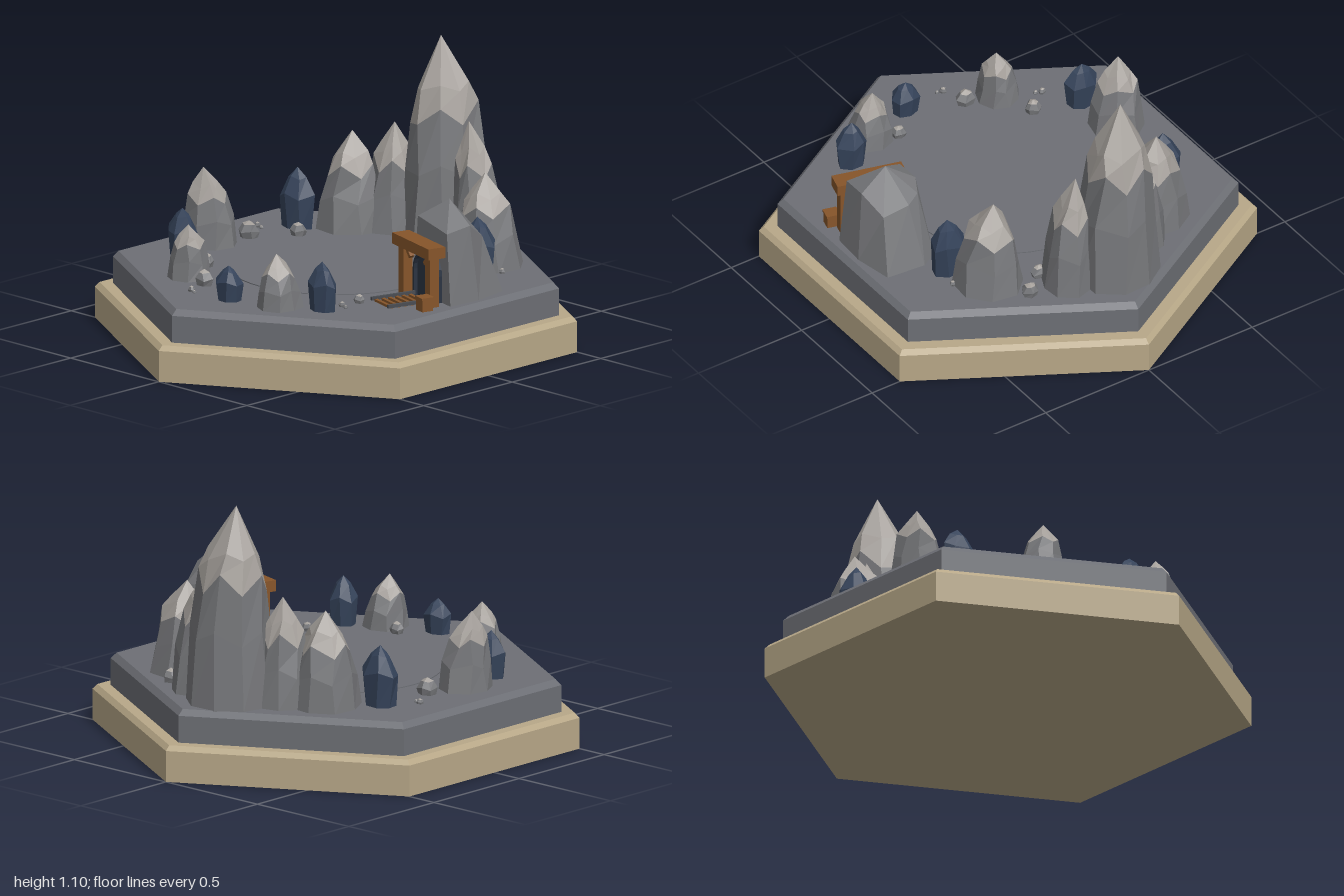
import * as THREE from 'three';

const mat = (name, color, extra = {}) =>
  Object.assign(new THREE.MeshStandardMaterial({ color, flatShading: true, ...extra }), { name });

export function createModel() {
  const M = {
    sand: mat('sandstone', 0xb8a888),
    ground: mat('slateGround', 0x6d6f75),
    rock: mat('greyRock', 0x77787b),
    cap: mat('paleRock', 0xa6a19c),
    ore: mat('blueOre', 0x35435a),
    wood: mat('wood', 0x86552a),
    dark: mat('tunnelDark', 0x2b3442, { side: THREE.DoubleSide }),
    rail: mat('railIron', 0x4a4d52),
  };
  const model = new THREE.Group();
  model.name = 'hexMineTile';

  let seed = 7;
  const rand = () => (seed = (seed * 16807) % 2147483647) / 2147483647;
  const jit = (a) => 1 + (rand() * 2 - 1) * a;

  const add = (parent, name, geo, material, x = 0, y = 0, z = 0) => {
    const m = new THREE.Mesh(geo, material);
    m.name = name;
    m.position.set(x, y, z);
    parent.add(m);
    return m;
  };

  // Joins rings of points and closes them to an apex; faces above ring capFrom use the second material
  const loft = (rings, apex, capFrom = 99) => {
    const pos = [];
    const tri = (...p) => p.forEach((v) => pos.push(v.x, v.y, v.z));
    let split = -1;
    rings.forEach((low, k) => {
      if (k === capFrom) split = pos.length / 3;
      const up = rings[k + 1];
      low.forEach((a, i) => {
        const j = (i + 1) % low.length;
        if (!up) return tri(a, low[j], apex);
        tri(a, low[j], up[j]);
        tri(a, up[j], up[i]);
      });
    });
    const g = new THREE.BufferGeometry();
    g.setAttribute('position', new THREE.Float32BufferAttribute(pos, 3));
    g.computeVertexNormals();
    const n = pos.length / 3;
    if (split < 0) split = n;
    g.addGroup(0, split, 0);
    if (split < n) g.addGroup(split, n - split, 1);
    return g;
  };

  // Jagged stone: profile rows are [height share, radius share, height zigzag]
  const stone = (name, [x, z, r, h, ax = x, az = z], profile, sides, mats, capFrom, depth = 1) => {
    const turn = rand() * 6;
    const spread = Array.from({ length: sides }, () => jit(0.09));
    const rings = profile.map(([t, s, zig]) => spread.map((k, i) => {
      const a = turn + ((i + (zig ? jit(0.2) - 1 : 0)) / sides) * Math.PI * 2;
      const rr = r * s * k * jit(t ? 0.05 : 0);
      const lean = t * t;
      return new THREE.Vector3(
        Math.sin(a) * rr + (ax - x) * lean,
        h * (t + (i % 2 ? zig : -zig) * jit(0.3)),
        Math.cos(a) * rr * depth + (az - z) * lean);
    }));
    add(model, name, loft(rings, new THREE.Vector3(ax - x, h, az - z), capFrom), mats, x, TOP - 0.003, z);
  };

  // Two stepped hexagonal slabs with bevelled top edges
  const TOP = 0.283;
  const slab = (name, r, y0, y1, bevel, material) => {
    const h = y1 - y0 - bevel;
    add(model, name, new THREE.CylinderGeometry(r, r, h, 6), material, 0, y0 + h / 2, 0);
    add(model, name + 'Bevel', new THREE.CylinderGeometry(r - bevel, r, bevel, 6), material, 0, y1 - bevel / 2, 0);
  };
  slab('lowerBase', 1, 0, 0.148, 0.02, M.sand);
  slab('upperBase', 0.925, 0.148, TOP, 0.024, M.ground);
  add(model, 'centreDisc', new THREE.CylinderGeometry(0.43, 0.43, 0.004, 48), M.ground, 0, TOP + 0.002, 0);

  // Peaks: x, z, radius, height, apex x, apex z
  const peakShape = [[0, 1, 0], [0.34, 0.88, 0.04], [0.62, 0.7, 0.06], [0.78, 0.45, 0.03]];
  const tallShape = [[0, 1, 0], [0.36, 0.9, 0.03], [0.62, 0.76, 0.05], [0.76, 0.6, 0.02]];
  [
    [-0.055, -0.68, 0.175, 0.817, -0.083, -0.675],
    [0.15, -0.645, 0.11, 0.505, 0.11, -0.64],
    [-0.235, -0.575, 0.12, 0.447, -0.24, -0.57],
    [-0.38, -0.475, 0.145, 0.4, -0.39, -0.48],
    [0.405, -0.46, 0.14, 0.38, 0.385, -0.46],
    [-0.6, 0.11, 0.113, 0.32, -0.622, 0.13],
    [-0.31, 0.525, 0.092, 0.222, -0.305, 0.53],
    [0.27, 0.585, 0.09, 0.222, 0.255, 0.59],
  ].forEach((p, i) => stone('peak' + (i + 1), p, i ? peakShape : tallShape, i ? 8 : 9, [M.rock, M.cap], 2));

  // Blue ore boulders
  const oreShape = [[0, 0.85, 0], [0.55, 1, 0.05], [0.84, 0.5, 0.02]];
  [
    [-0.535, -0.315, 0.082, 0.25],
    [0.5, -0.3, 0.082, 0.25],
    [-0.565, 0.305, 0.07, 0.195],
    [0.42, 0.495, 0.068, 0.203],
    [0.05, 0.655, 0.06, 0.145],
  ].forEach((p, i) => stone('oreBoulder' + (i + 1), p, oreShape, 7, [M.ore], 99, 0.8));

  // Pebbles: x, z, radius
  const pebbleShape = [[0, 0.8, 0], [0.42, 1, 0.06], [0.8, 0.6, 0.03]];
  [
    [0.32, -0.625, 0.038], [0.22, -0.54, 0.035], [-0.64, -0.195, 0.016], [-0.615, -0.19, 0.01],
    [-0.44, -0.225, 0.036], [-0.56, -0.065, 0.045], [-0.37, 0.365, 0.038], [-0.47, 0.445, 0.017],
    [-0.445, 0.455, 0.012], [-0.18, 0.565, 0.043], [-0.145, 0.672, 0.017], [-0.12, 0.68, 0.01],
    [0.165, 0.535, 0.033], [0.45, 0.315, 0.025], [0.443, 0.405, 0.016], [0.47, 0.412, 0.01],
    [0.54, -0.4, 0.016],
  ].forEach(([x, z, r], i) =>
    stone('pebble' + (i + 1), [x, z, r, r * 1.6], pebbleShape, 6, [M.rock, M.cap], 2, 0.85));

  // Mine mound: flat-fronted rock behind the entrance
  const toRing = (pts) => pts.map(([x, y, z]) => new THREE.Vector3(x, y, z));
  add(model, 'mineMound', loft([
    toRing([[0.46, 0.28, 0.02], [0.75, 0.28, 0.1], [0.76, 0.28, -0.05], [0.73, 0.28, -0.215],
      [0.56, 0.28, -0.23], [0.487, 0.28, -0.185], [0.445, 0.28, -0.1]]),
    toRing([[0.5, 0.6, 0.035], [0.72, 0.575, 0.09], [0.73, 0.59, -0.03], [0.695, 0.52, -0.135],
      [0.58, 0.54, -0.145], [0.52, 0.56, -0.12], [0.49, 0.59, -0.06]]),
  ], new THREE.Vector3(0.615, 0.68, -0.03)), [M.rock]);

  // Mine entrance, turned toward the clearing
  const mine = new THREE.Group();
  mine.name = 'mineEntrance';
  mine.position.set(0.59, TOP, 0.12);
  mine.rotation.y = -0.27;
  model.add(mine);
  const box = (name, w, h, d, material, x, y, z) =>
    add(mine, name, new THREE.BoxGeometry(w, h, d), material, x, y, z);

  // Dark arched tunnel mouth
  const arch = (r, h) => {
    const s = new THREE.Shape().moveTo(-r, 0).lineTo(r, 0).lineTo(r, h);
    return s.absarc(0, h, r, 0, Math.PI).lineTo(-r, 0);
  };
  const mouth = arch(0.085, 0.11);
  mouth.holes.push(arch(0.075, 0.109));
  add(mine, 'tunnelRim', new THREE.ExtrudeGeometry(mouth, { depth: 0.04, bevelEnabled: false, curveSegments: 5 }),
    M.dark, 0, 0.001, -0.06);
  add(mine, 'tunnelBack', new THREE.ShapeGeometry(arch(0.08, 0.11), 5), M.dark, 0, 0.001, -0.036);

  // Timber frame
  box('beam', 0.295, 0.046, 0.078, M.wood, 0, 0.228, 0);
  for (const s of [-1, 1]) {
    box('post', 0.042, 0.207, 0.042, M.wood, s * 0.108, 0.1035, 0);
    box('brace', 0.016, 0.06, 0.02, M.wood, s * 0.078, 0.188, 0).rotation.z = s * -0.78;
    box('rail', 0.012, 0.014, 0.2, M.rail, s * 0.068, 0.014, 0.08);
  }
  for (let i = 0; i < 6; i++) box('sleeper', 0.125, 0.01, 0.014, M.wood, 0, 0.007, 0.005 + i * 0.031);

  // Crate beside the right post
  box('crate', 0.052, 0.055, 0.05, M.wood, 0.142, 0.0275, 0.053);
  box('crateLid', 0.058, 0.009, 0.056, M.wood, 0.142, 0.053, 0.053);

  return model;
}
